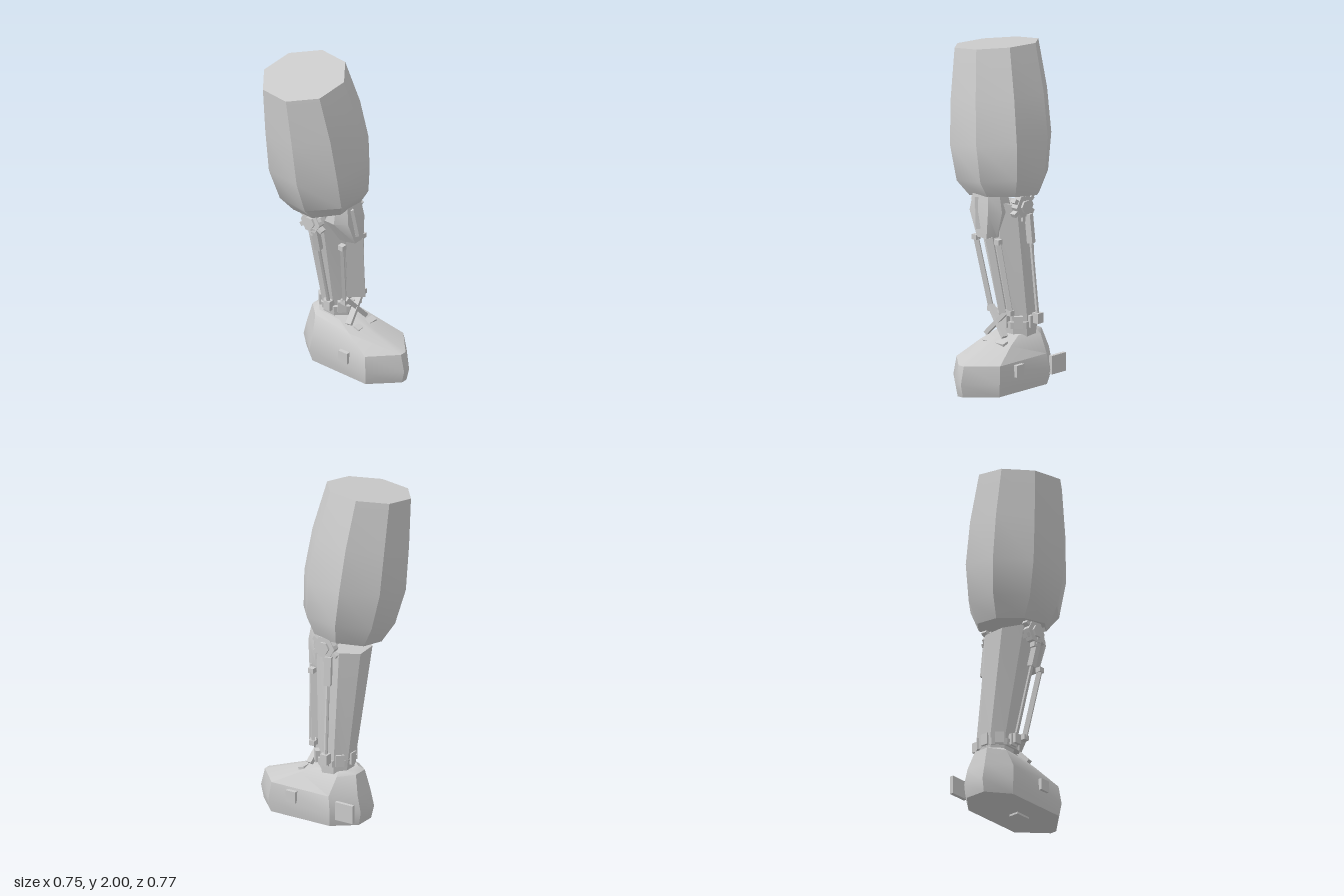
import * as THREE from 'three';
import { toCreasedNormals } from 'three/addons/utils/BufferGeometryUtils.js';

const TURN = 0.26; // the lower leg is turned out about y
const V = (x, y, z) => new THREE.Vector3(x, y, z);
const material = new THREE.MeshStandardMaterial({ color: 0xcccccc });

function add(parent, name, geometry) {
  const mesh = new THREE.Mesh(toCreasedNormals(geometry, 0.5), material);
  mesh.name = name;
  parent.add(mesh);
  return mesh;
}

// Closed skin over equal-length rings, listed from bottom to top
function loft(rings) {
  const n = rings[0].length, position = [], index = [];
  rings.forEach(r => r.forEach(p => position.push(p.x, p.y, p.z)));
  for (let k = 0; k < rings.length - 1; k++) {
    for (let i = 0; i < n; i++) {
      const a = k * n + i, b = k * n + (i + 1) % n;
      index.push(a, a + n, b + n, a, b + n, b);
    }
  }
  const top = (rings.length - 1) * n;
  for (let i = 1; i < n - 1; i++) {
    index.push(0, i, i + 1, top, top + i + 1, top + i);
  }
  const g = new THREE.BufferGeometry();
  g.setAttribute('position', new THREE.Float32BufferAttribute(position, 3));
  g.setIndex(index);
  return g;
}

// Eight-sided ring, with its plane tilted along x and z
function octagon(x, y, z, r, phase, tiltX = 0, tiltZ = 0) {
  return Array.from({ length: 8 }, (_, i) => {
    const a = phase + i * Math.PI / 4, dx = r * Math.cos(a), dz = r * Math.sin(a);
    return V(x + dx, y + dx * tiltX + dz * tiltZ, z + dz);
  });
}

// Rectangular bar between two points
function bar(parent, name, a, b, width, depth) {
  const mesh = add(parent, name, new THREE.BoxGeometry(width, depth, a.distanceTo(b)));
  mesh.position.copy(a).lerp(b, 0.5);
  mesh.lookAt(b);
  return mesh;
}

// Six-sided rod between two points
function rod(parent, name, a, b, r) {
  const g = new THREE.CylinderGeometry(r, r, a.distanceTo(b), 6).rotateX(Math.PI / 2);
  const mesh = add(parent, name, g);
  mesh.position.copy(a).lerp(b, 0.5);
  mesh.lookAt(b);
}

function box(parent, name, x, y, z, w, h, d, turn = 0) {
  const mesh = add(parent, name, new THREE.BoxGeometry(w, h, d));
  mesh.position.set(x, y, z);
  mesh.rotation.y = turn;
  return mesh;
}

function buildThigh(leg) {
  const rings = [
    [0.005, 1.105, -0.08, 0.21, 0.14, 0.08],
    [-0.015, 1.21, -0.08, 0.275, 0.14, 0.0],
    [-0.05, 1.42, -0.09, 0.305, 0.16, 0.0],
    [-0.085, 1.68, -0.1, 0.29, 0.14, 0.0],
    [-0.135, 1.962, -0.115, 0.252, 0.155, 0.01],
  ];
  add(leg, 'thigh', loft(rings.map(([x, y, z, r, tx, tz]) => octagon(x, y, z, r, 0.25, tx, tz))));
}

function buildCalf(leg) {
  add(leg, 'calf', loft([
    octagon(0.115, 0.29, -0.115, 0.1, 0.13),
    octagon(0.108, 0.42, -0.115, 0.112, 0.13),
    octagon(0.02, 1.07, -0.075, 0.165, 0.13, 0, 0.25),
  ]));

  // Knee guard, widest above the middle
  const guard = [[0.89, 0.068, 0.062, 0.07], [1.04, 0.042, 0.12, 0.075], [1.14, 0.042, 0.1, 0.06]];
  const outline = [[1, -1], [1, 0.1], [0.6, 1], [-0.6, 1], [-1, 0.1], [-1, -1]];
  const c = Math.cos(TURN), s = Math.sin(TURN);
  add(leg, 'kneeGuard', loft(guard.map(([y, x, w, d]) =>
    outline.map(([u, v]) => V(x + u * w * c + v * d * s, y, 0.055 - u * w * s + v * d * c)))));
  bar(leg, 'kneeGuardSlot', V(0.035, 1.12, 0.115), V(0.065, 0.94, 0.128), 0.04, 0.02);

  // Shin plate with a rail down each edge
  bar(leg, 'shinPlate', V(0.066, 0.89, 0.055), V(0.122, 0.45, 0.0), 0.15, 0.04).rotateZ(-TURN * 0.7);
  for (const side of [-1, 1]) {
    const top = V(0.068 + side * 0.085, 0.87, 0.075 - side * 0.022);
    const foot = V(0.12 + side * 0.075, 0.45, 0.015 - side * 0.018);
    bar(leg, 'shinRail', top, foot, 0.02, 0.028);
    box(leg, 'railEnd', top.x, top.y, top.z, 0.035, 0.03, 0.035, TURN);
    box(leg, 'railEnd', foot.x, foot.y, foot.z, 0.035, 0.03, 0.035, TURN);
  }
}

function buildKneeJoint(leg, side) {
  const joint = new THREE.Group();
  joint.name = side > 0 ? 'leftKneeJoint' : 'rightKneeJoint';
  joint.position.set(0.02 + side * 0.158, 1.05 + side * 0.02, -0.06 - side * 0.035);
  joint.rotation.y = TURN;
  leg.add(joint);
  add(joint, 'hub', new THREE.CylinderGeometry(0.07, 0.07, 0.045, 6).rotateZ(Math.PI / 2));
  add(joint, 'hubCap', new THREE.CylinderGeometry(0.038, 0.038, 0.07, 6).rotateZ(Math.PI / 2));
  for (let i = 0; i < 6; i++) {
    const a = i * Math.PI / 3;
    const lug = box(joint, 'hubLug', 0, 0.075 * Math.cos(a), 0.075 * Math.sin(a), 0.035, 0.03, 0.025);
    lug.rotation.x = a;
  }

  // Side piston from the knee down to the ankle
  const top = side > 0 ? V(0.19, 1.02, -0.13) : V(-0.14, 1.0, 0.0);
  const end = side > 0 ? V(0.24, 0.41, -0.16) : V(0.0, 0.4, -0.06);
  const mid = top.clone().lerp(end, 0.28);
  bar(leg, 'pistonSleeve', top, mid, 0.04, 0.035);
  rod(leg, 'pistonRod', mid, end, 0.012);
  box(leg, 'pistonFoot', end.x, end.y, end.z, 0.045, 0.06, 0.045, TURN);
}

function buildAnkle(leg) {
  add(leg, 'ankleBand', loft([
    octagon(0.113, 0.35, -0.105, 0.118, 0.13),
    octagon(0.11, 0.39, -0.105, 0.122, 0.13),
  ]));
  for (let i = 0; i < 8; i++) {
    const a = 0.13 + (i + 0.5) * Math.PI / 4;
    box(leg, 'ankleLug', 0.112 + 0.108 * Math.cos(a), 0.39, -0.105 + 0.108 * Math.sin(a), 0.03, 0.07, 0.05, -a);
  }
  // Crossed brace over the instep
  for (const side of [-1, 1]) {
    bar(leg, 'crossBrace', V(0.12 - side * 0.07, 0.47, 0.02 + side * 0.018),
      V(0.12 + side * 0.07, 0.31, 0.05 - side * 0.018), 0.035, 0.025);
  }
}

function buildFoot(leg) {
  const foot = new THREE.Group();
  foot.name = 'foot';
  foot.position.set(0.145, 0, 0.025);
  foot.rotation.y = TURN;
  leg.add(foot);
  const half = [[0.182, -0.21], [0.182, 0.21], [0.022, 0.365]];
  const outline = [...half, ...half.map(([x, z]) => [-x, z]).reverse(), [-0.07, -0.35], [0.07, -0.35]];
  // Each level: height, width and length scale, x and z shift, rise toward the heel
  const levels = [
    [0.012, 0.93, 0.95, 0, 0, 0],
    [0.09, 1, 1, 0, 0, 0],
    [0.195, 0.94, 0.93, 0, 0, 0],
    [0.285, 0.66, 0.6, -0.01, -0.085, 0.1],
    [0.318, 0.5, 0.36, -0.01, -0.13, 0.05],
  ];
  add(foot, 'shoe', loft(levels.map(([y, w, l, sx, sz, rise]) =>
    outline.map(([x, z]) => V(x * w + sx, y - z * l * rise, z * l + sz)))));
  for (const side of [-1, 1]) {
    box(foot, 'sideLug', side * 0.182, 0.145, 0.05, 0.03, 0.07, 0.065);
  }
  box(foot, 'heelPlate', 0.16, 0.115, -0.298, 0.022, 0.11, 0.12);
  box(foot, 'solePad', 0, 0.012, 0.05, 0.06, 0.024, 0.1);
  box(foot, 'instepTab', 0.0, 0.275, 0.05, 0.16, 0.03, 0.04).rotation.x = 0.3;
}

export function createModel() {
  const leg = new THREE.Group();
  leg.name = 'leg';
  buildThigh(leg);
  buildCalf(leg);
  for (const side of [-1, 1]) buildKneeJoint(leg, side);
  buildAnkle(leg);
  buildFoot(leg);
  return leg;
}
